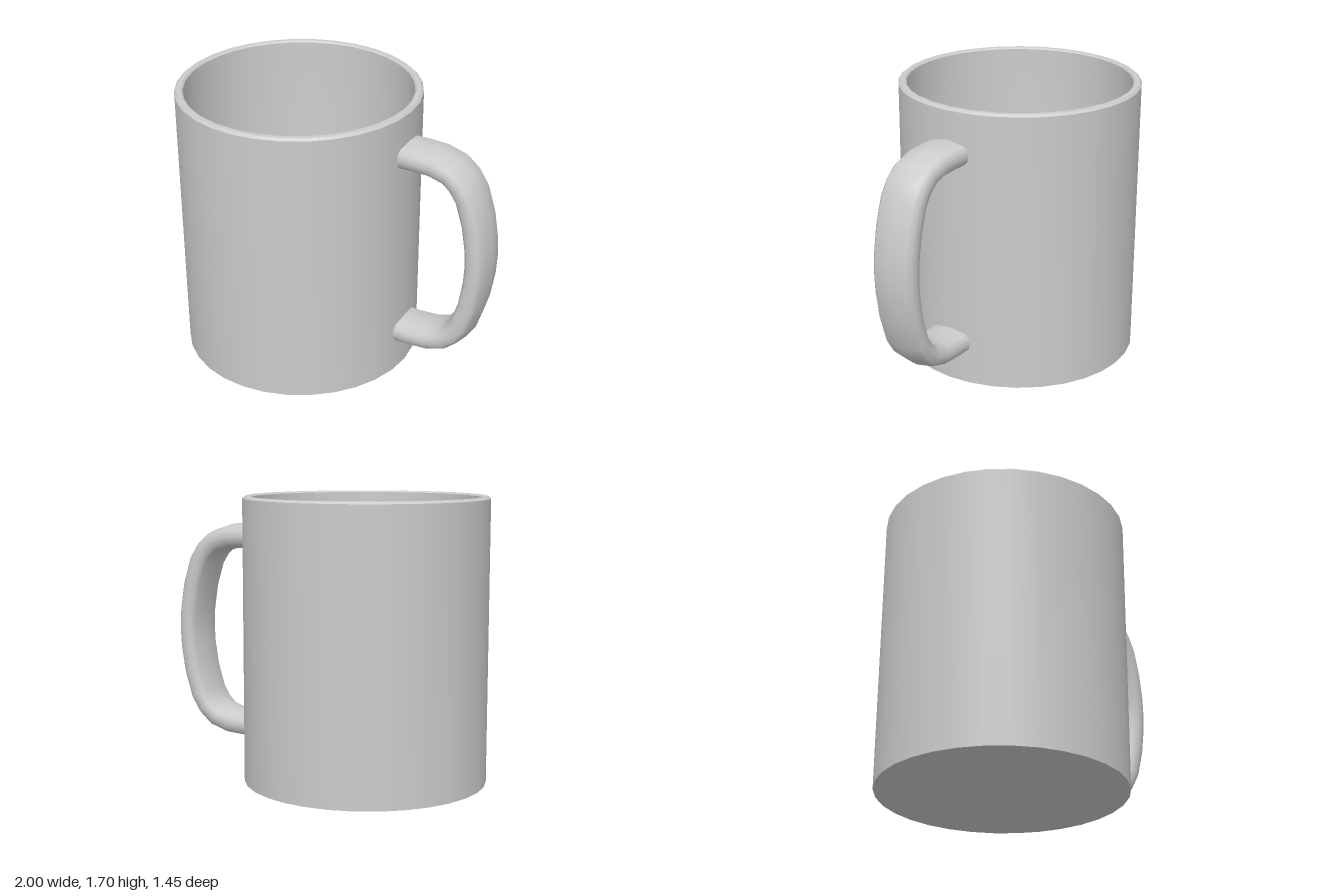
import * as THREE from 'three';
import { toCreasedNormals } from 'three/addons/utils/BufferGeometryUtils.js';

const material = new THREE.MeshStandardMaterial({ color: 0xcccccc });

// Cup: one closed profile, from the underside round the rim to the inner floor
function createCup() {
  const profile = [
    [0, 0.015], [0.655, 0.015], [0.695, 0], [0.725, 0],
    [0.725, 1.684], [0.711, 1.697], [0.685, 1.697], [0.675, 1.688],
    [0.667, 0.2], [0.645, 0.06], [0, 0.06],
  ].map(([r, y]) => new THREE.Vector2(r, y));
  const geometry = toCreasedNormals(new THREE.LatheGeometry(profile, 32), 0.45);
  const cup = new THREE.Mesh(geometry, material);
  cup.name = 'cup';
  cup.position.x = -0.275;
  return cup;
}

// Handle: a wide, rounded section swept along a path mirrored top to bottom
function createHandle() {
  const midY = 0.847;
  const upper = [
    [0.42, 1.435], [0.52, 1.435], [0.63, 1.429], [0.733, 1.397], [0.795, 1.343],
    [0.845, 1.266], [0.892, 1.115], [0.917, 0.96],
  ];
  const path = [
    ...upper,
    [0.923, midY],
    ...upper.map(([x, y]) => [x, 2 * midY - y]).reverse(),
  ];

  // Section points as [across, outward], counter-clockwise from the side
  const quarter = [[0.138, 0], [0.132, 0.035], [0.108, 0.057]];
  const half = [...quarter, [0, 0.077], ...quarter.map(([z, n]) => [-z, n]).reverse()];
  const section = [...half, ...half.slice(1, -1).map(([z, n]) => [-z, -n])];

  const positions = [];
  const index = [];
  const count = section.length;
  path.forEach(([x, y], i) => {
    // Ends stay square to the cup wall
    const before = path[Math.max(i - 1, 0)];
    const after = path[Math.min(i + 1, path.length - 1)];
    const t = new THREE.Vector2(after[0] - before[0], after[1] - before[1]).normalize();
    section.forEach(([z, n], j) => {
      positions.push(x - t.y * n, y + t.x * n, z);
      if (i === path.length - 1) return;
      const a = i * count + j;
      const b = i * count + (j + 1) % count;
      index.push(a, a + count, b, b, a + count, b + count);
    });
  });

  const geometry = new THREE.BufferGeometry();
  geometry.setAttribute('position', new THREE.Float32BufferAttribute(positions, 3));
  geometry.setIndex(index);
  geometry.computeVertexNormals();
  const handle = new THREE.Mesh(geometry, material);
  handle.name = 'handle';
  return handle;
}

export function createModel() {
  const mug = new THREE.Group();
  mug.name = 'mug';
  mug.add(createCup(), createHandle());
  return mug;
}
